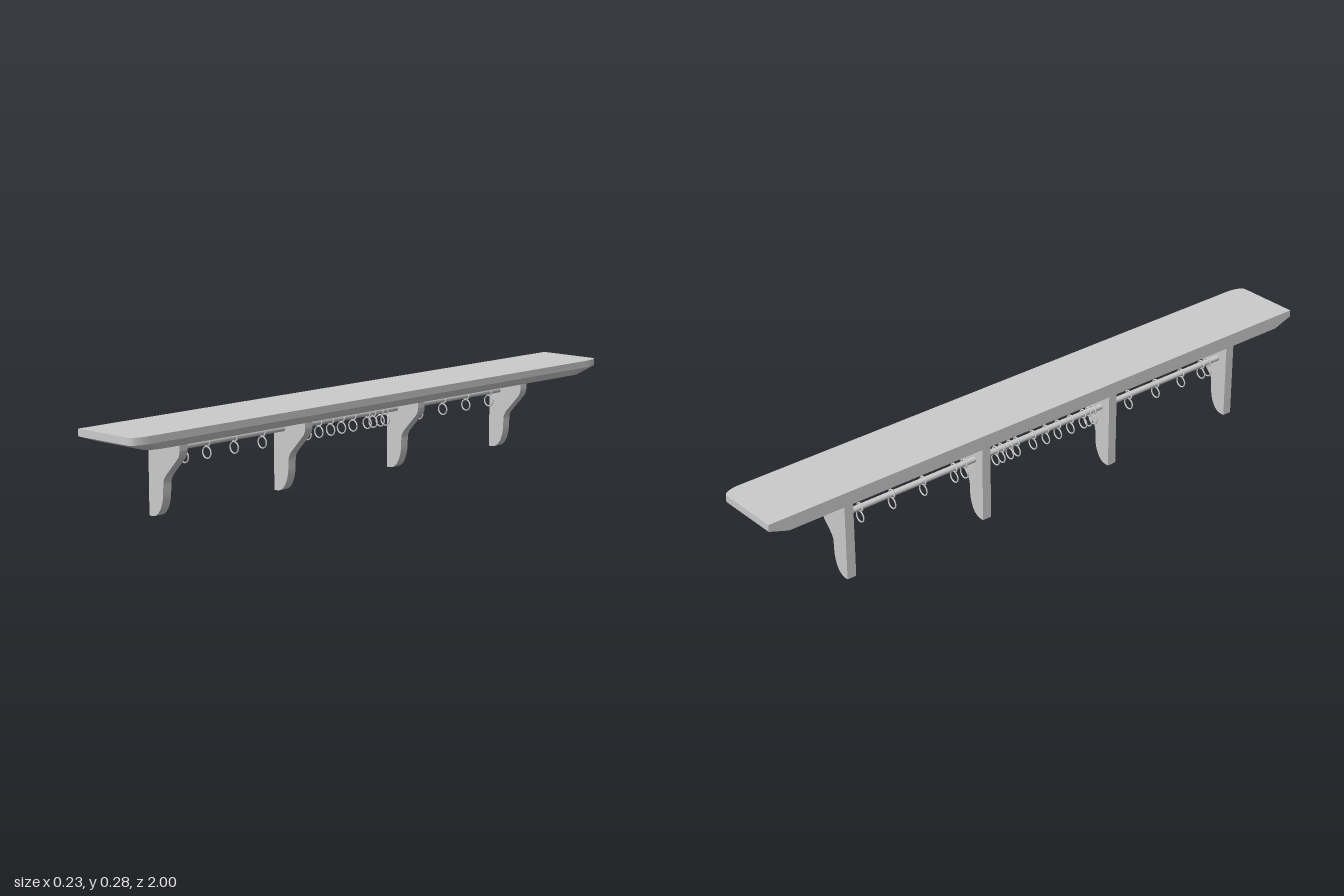
import * as THREE from 'three';
import { toCreasedNormals } from 'three/addons/utils/BufferGeometryUtils.js';

const BACK = -0.113, FRONT = 0.113, TOP = 0.279, THICK = 0.043;
const ROD_X = -0.075, ROD_Y = 0.189, ROD_R = 0.009;

export function createModel() {
  const group = new THREE.Group();
  const material = new THREE.MeshStandardMaterial({ color: 0xcccccc });
  const add = (name, geometry, parent = group) => {
    const mesh = new THREE.Mesh(geometry, material);
    mesh.name = name;
    parent.add(mesh);
    return mesh;
  };

  // Shelf board: rounded front corners, underside tapered at front and ends
  const rx = 0.025, rz = 0.06;
  const outline = new THREE.Shape();
  outline.moveTo(BACK, -1);
  outline.lineTo(FRONT - rx, -1);
  outline.absellipse(FRONT - rx, -1 + rz, rx, rz, -Math.PI / 2, 0, false);
  outline.lineTo(FRONT, 1 - rz);
  outline.absellipse(FRONT - rx, 1 - rz, rx, rz, 0, Math.PI / 2, false);
  outline.lineTo(BACK, 1);
  outline.closePath();
  const board = new THREE.ExtrudeGeometry(outline, {
    depth: THICK, steps: 2, bevelEnabled: false, curveSegments: 10,
  });
  board.rotateX(Math.PI / 2).translate(0, TOP, 0);
  const p = board.attributes.position;
  for (let i = 0; i < p.count; i++) {
    if (p.getY(i) < TOP - THICK * 0.75) {
      p.setX(i, BACK + (p.getX(i) - BACK) * 0.942);
      p.setZ(i, p.getZ(i) * 0.935);
    }
  }
  add('shelfBoard', toCreasedNormals(board, 0.4));

  // Four curved brackets
  const profile = new THREE.Shape();
  profile.moveTo(BACK, 0);
  profile.lineTo(-0.1, 0);
  profile.bezierCurveTo(-0.073, 0, -0.054, 0.035, -0.054, 0.075);
  profile.lineTo(-0.053, 0.098);
  profile.quadraticCurveTo(-0.052, 0.112, -0.04, 0.125);
  profile.lineTo(0.004, 0.172);
  profile.quadraticCurveTo(0.016, 0.184, 0.016, 0.2);
  profile.lineTo(0.016, TOP - THICK);
  profile.lineTo(BACK, TOP - THICK);
  profile.closePath();
  const bracket = toCreasedNormals(new THREE.ExtrudeGeometry(profile, {
    depth: 0.03, bevelEnabled: false, curveSegments: 10,
  }).translate(0, 0, -0.015), 0.5);
  for (const z of [0.735, 0.245, -0.245, -0.735]) {
    add('bracket', bracket).position.z = z;
  }

  // Hanging rod through the brackets
  const rod = new THREE.CylinderGeometry(ROD_R, ROD_R, 1.47, 20).rotateX(Math.PI / 2);
  add('rod', rod).position.set(ROD_X, ROD_Y, 0);

  // Hooks: a loop round the rod with a larger ring hanging below
  const loop = new THREE.TorusGeometry(0.0125, 0.0025, 8, 24);
  const ring = new THREE.TorusGeometry(0.017, 0.0022, 8, 28);
  const hookPositions = [
    0.676, 0.65, 0.564, 0.457, 0.345,
    0.2, 0.18, 0.16, 0.11, 0.06, 0.013, -0.037, -0.1, -0.126, -0.158, -0.18,
    -0.297, -0.334, -0.447, -0.559, -0.671,
  ];
  for (const z of hookPositions) {
    const hook = new THREE.Group();
    hook.name = 'hook';
    hook.position.set(ROD_X, ROD_Y, z);
    add('hookLoop', loop, hook);
    add('hookRing', ring, hook).position.y = -0.0305;
    group.add(hook);
  }
  return group;
}
